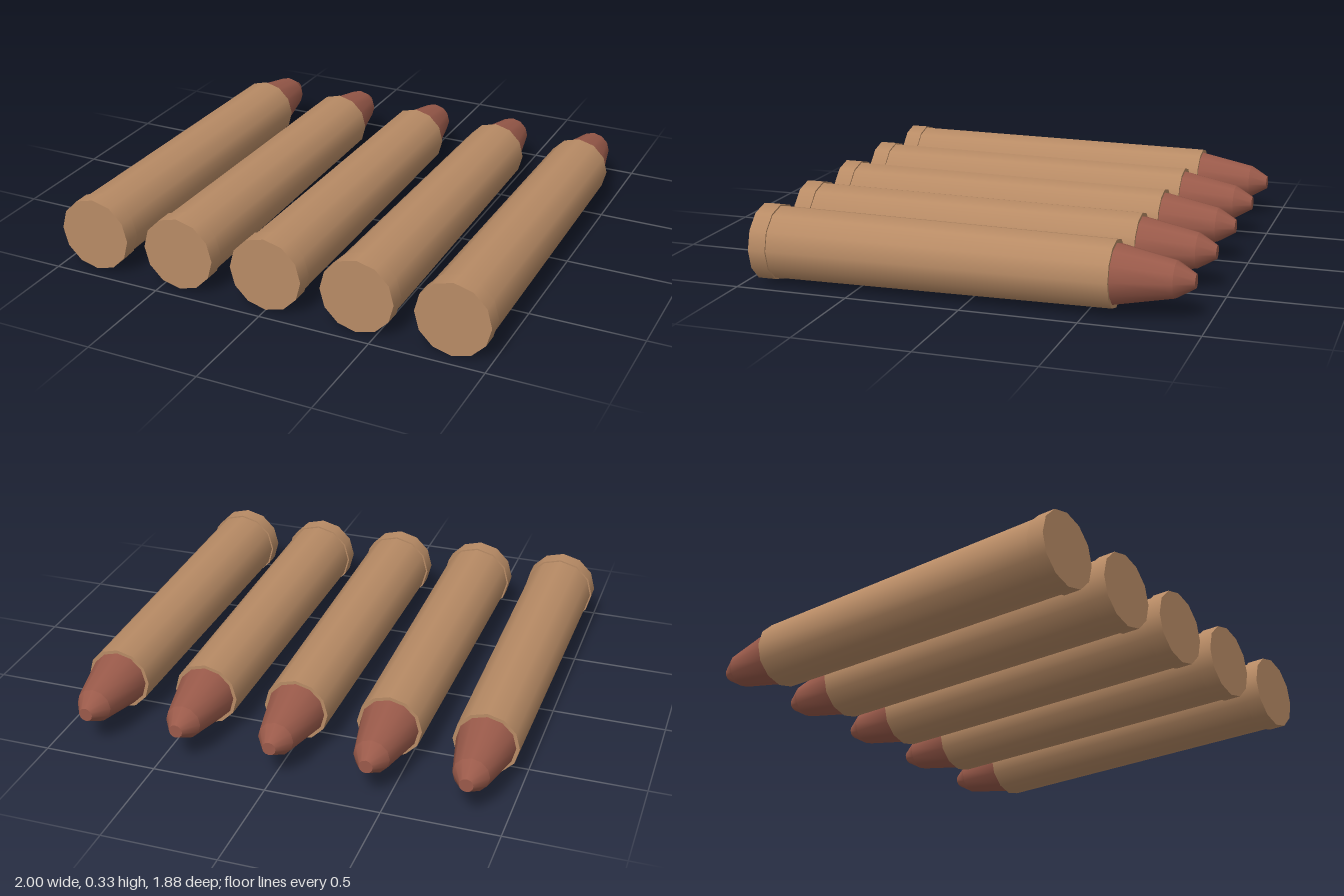
import * as THREE from 'three';

const SIDES = 12;
const RADIUS = 0.165;
const SPACING = 0.4175;

// Round section along z, from the front end to the back end
function section(name, material, zFront, rFront, zBack, rBack) {
  const geometry = new THREE.CylinderGeometry(rFront, rBack, zFront - zBack, SIDES);
  geometry.rotateX(Math.PI / 2);
  const mesh = new THREE.Mesh(geometry, material);
  mesh.name = name;
  mesh.position.z = (zFront + zBack) / 2;
  return mesh;
}

export function createModel() {
  const brass = new THREE.MeshStandardMaterial({ color: 0xb88b65 });
  brass.name = 'brass';
  const copper = new THREE.MeshStandardMaterial({ color: 0x9a5a4a });
  copper.name = 'copper';

  const model = new THREE.Group();
  model.name = 'cartridges';

  // Row of five identical cartridges, tips towards the back
  for (let i = -2; i <= 2; i++) {
    const cartridge = new THREE.Group();
    cartridge.name = 'cartridge';
    cartridge.add(
      section('rim', brass, 0.94, RADIUS, 0.863, RADIUS),
      section('case', brass, 0.863, 0.158, -0.615, 0.143),
      section('bulletBody', copper, -0.615, 0.128, -0.86, 0.078),
      section('bulletTip', copper, -0.86, 0.078, -0.94, 0.03)
    );
    cartridge.position.set(i * SPACING, RADIUS, 0);
    model.add(cartridge);
  }
  return model;
}
